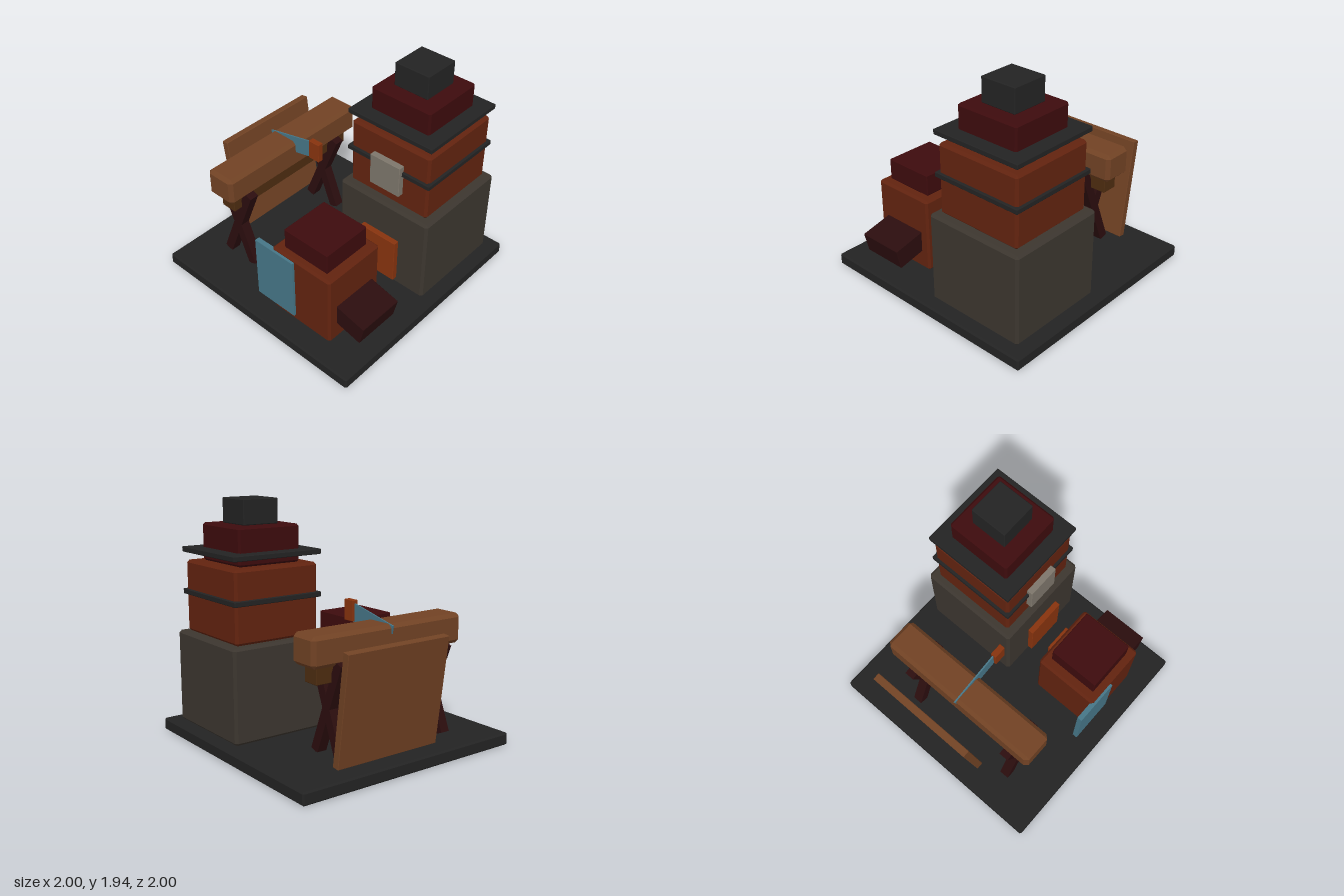
import * as THREE from 'three';
import { ConvexGeometry } from 'three/addons/geometries/ConvexGeometry.js';

const paint = (name, color) => {
  const m = new THREE.MeshStandardMaterial({ color });
  m.name = name;
  return m;
};

// Box with flat chamfers on every edge
function chamferBox(w, h, d, c) {
  const pts = [];
  for (const sx of [-1, 1]) for (const sy of [-1, 1]) for (const sz of [-1, 1]) {
    const [x, y, z] = [w / 2, h / 2, d / 2];
    pts.push(
      new THREE.Vector3(sx * x, sy * (y - c), sz * (z - c)),
      new THREE.Vector3(sx * (x - c), sy * y, sz * (z - c)),
      new THREE.Vector3(sx * (x - c), sy * (y - c), sz * z));
  }
  return new ConvexGeometry(pts);
}

export function createModel() {
  const model = new THREE.Group();
  model.name = 'smithy';

  const iron = paint('dark iron', 0x232323);
  const stone = paint('stone', 0x3c362f);
  const brick = paint('rust brick', 0x62230f);
  const maroon = paint('maroon', 0x3d0b0d);
  const darkWood = paint('dark red wood', 0x2b0d0e);
  const wood = paint('wood', 0x714224);
  const brownWood = paint('dark brown wood', 0x4d2c10);
  const orange = paint('orange', 0x87330e);
  const steel = paint('blue steel', 0x467687);
  const plate = paint('pale plate', 0x7d766b);

  // Part given by its centre and size, with optional chamfer and tilt about z
  function part(name, mat, [x, y, z], [w, h, d], chamfer = 0, tilt = 0) {
    const geo = chamfer ? chamferBox(w, h, d, chamfer) : new THREE.BoxGeometry(w, h, d);
    const mesh = new THREE.Mesh(geo, mat);
    mesh.name = name;
    mesh.position.set(x, y, z);
    mesh.rotation.z = tilt;
    model.add(mesh);
    return mesh;
  }

  // Ground slab
  part('base', iron, [0, 0.05, 0], [2, 0.1, 2], 0.012);

  // Stepped furnace tower
  const tx = 0.458, tz = -0.458;
  part('towerFoot', stone, [tx, 0.48, tz], [0.875, 0.76, 0.875], 0.02);
  part('towerBody', brick, [tx, 1.15, tz], [0.755, 0.58, 0.755], 0.02);
  part('towerShoulder', maroon, [tx, 1.59, tz], [0.555, 0.3, 0.555], 0.016);
  part('chimney', iron, [tx, 1.84, tz], [0.315, 0.2, 0.315], 0.006);
  for (const y of [1.185, 1.525]) part('towerBand', iron, [tx, y, tz], [0.797, 0.042, 0.797], 0.005);
  part('towerPlate', plate, [tx, 1.122, -0.06], [0.288, 0.272, 0.06], 0.004);
  part('towerDoor', orange, [tx, 0.363, 0.004], [0.355, 0.395, 0.05], 0.004);

  // Small furnace
  part('furnaceBody', brick, [0.375, 0.42, 0.54], [0.59, 0.64, 0.56], 0.018);
  part('furnaceCap', maroon, [0.378, 0.83, 0.543], [0.435, 0.18, 0.435], 0.006);
  part('furnaceHatch', orange, [0.378, 0.48, 0.237], [0.236, 0.24, 0.05], 0.004);
  part('furnaceDoor', steel, [0.118, 0.44, 0.82], [0.395, 0.555, 0.042]);
  part('furnaceChute', darkWood, [0.75, 0.329, 0.537], [0.34, 0.175, 0.4], 0.004, -0.23);

  // Log resting on a pair of crossed trestles
  const lx = -0.543;
  part('log', wood, [lx, 0.93, 0.045], [0.266, 0.24, 1.445], 0.03);
  part('logSupport', brownWood, [lx, 0.745, 0.045], [0.142, 0.135, 1.3], 0.005);
  for (const z of [-0.428, 0.575])
    for (const s of [-1, 1])
      part('trestleLeg', darkWood, [lx, 0.467, z], [0.08, 0.78, 0.082], 0, s * 0.38);

  // Saw set into the log
  part('sawBlade', steel, [-0.43, 1.023, 0.046], [0.5, 0.148, 0.012], 0, 0.22);
  part('sawHandle', orange, [-0.184, 1.082, 0.05], [0.106, 0.167, 0.05], 0.003);

  // Leaning plank
  part('plank', wood, [-0.86, 0.54, -0.105], [0.062, 0.875, 0.95], 0.004, 0.137);

  return model;
}
